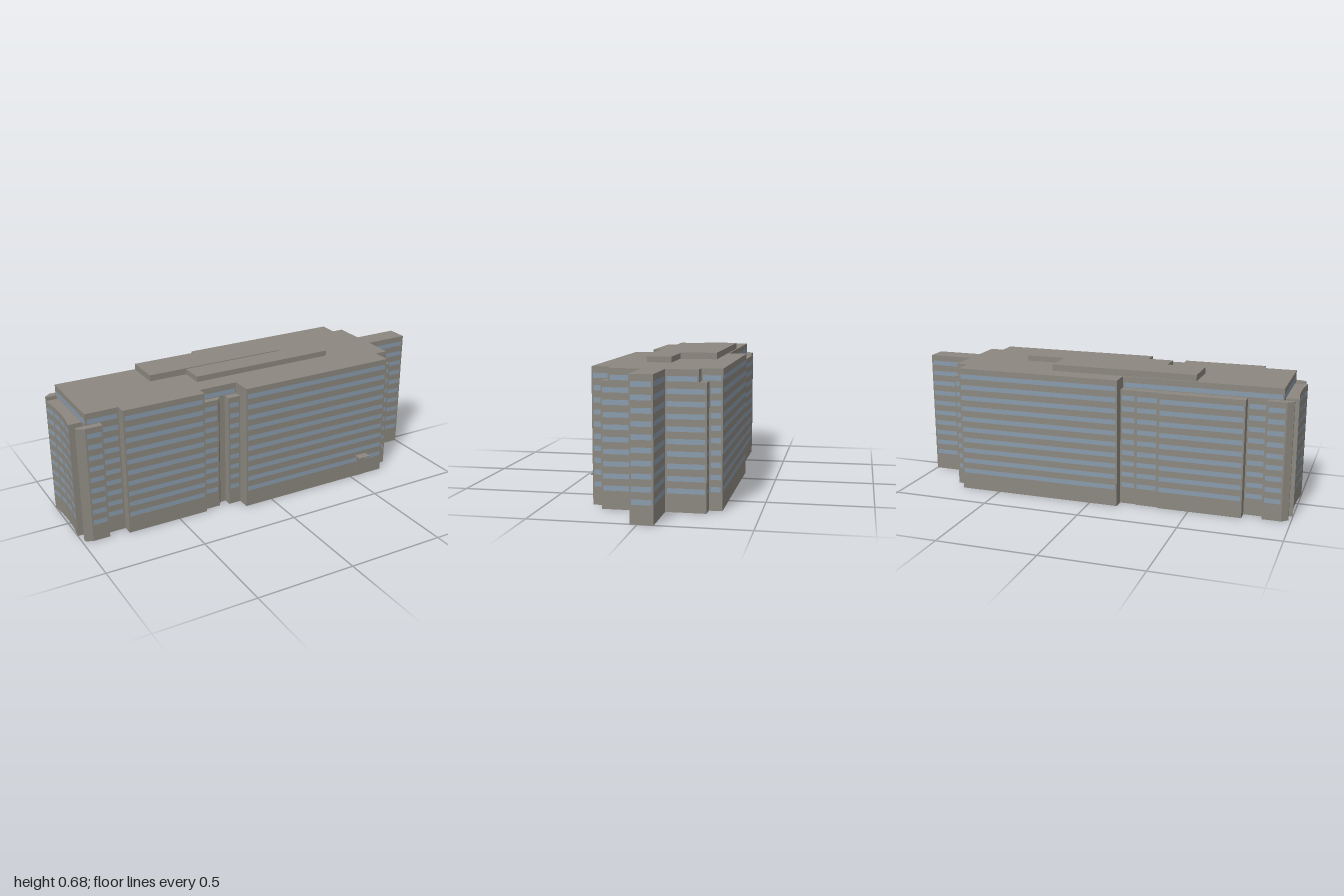
import * as THREE from 'three';

const concrete = new THREE.MeshStandardMaterial({ name: 'concrete', color: 0x8c8880, side: THREE.DoubleSide });
const glass = new THREE.MeshStandardMaterial({ name: 'glass', color: 0x8a9cad, side: THREE.DoubleSide });

const SHOULDER = 0.588, TOP = 0.645;   // lower terraces and main roof
const FLOOR = 0.0561, BAND = 0.024;    // storey pitch and window height

// Plan points [x, z], counter-clockwise from above; a third value of 1 leaves
// the wall that starts at that point without windows.
const lowerPlan = [
  [-0.985, 0.20, 1], [-0.95, 0.215], [-0.865, 0.215, 1], [-0.865, 0.18], [-0.77, 0.18, 1],
  [-0.77, 0.23], [-0.35, 0.23, 1], [-0.35, 0.21], [-0.265, 0.21, 1], [-0.245, 0.18, 1],
  [-0.215, 0.18, 1], [-0.215, 0.22], [-0.15, 0.22, 1], [-0.15, 0.283], [0.695, 0.283],
  [0.695, 0.222], [0.765, 0.222], [0.765, 0.033], [1, 0.033], [1, -0.073],
  [0.765, -0.073], [0.765, -0.262], [0.705, -0.262], [0.705, -0.324], [-0.145, -0.324, 1],
  [-0.145, -0.27], [-0.225, -0.27, 1], [-0.225, -0.276], [-0.34, -0.276, 1], [-0.34, -0.285],
  [-0.765, -0.285, 1], [-0.765, -0.23], [-0.86, -0.23, 1], [-0.86, -0.266], [-0.955, -0.266, 1],
  [-0.985, -0.24, 1], [-0.985, -0.228, 1], [-0.935, -0.228, 1], [-0.935, -0.185, 1],
  [-1, -0.185], [-0.99, -0.105], [-0.987, -0.025], [-0.99, 0.055], [-1, 0.135, 1],
  [-0.935, 0.135, 1], [-0.935, 0.18, 1], [-0.985, 0.18, 1],
];
const upperPlan = [
  [-0.935, 0.18], [-0.77, 0.18, 1], [-0.77, 0.23], [-0.35, 0.23, 1], [-0.35, 0.18],
  [-0.15, 0.18, 1], [-0.15, 0.283], [0.695, 0.283], [0.695, 0.187], [0.765, 0.187],
  [0.765, 0.033], [1, 0.033], [1, -0.073], [0.765, -0.073], [0.765, -0.226],
  [0.705, -0.226], [0.705, -0.324], [-0.145, -0.324, 1], [-0.145, -0.23], [-0.935, -0.23],
];

function meshFromPositions(name, positions, material) {
  const geometry = new THREE.BufferGeometry();
  geometry.setAttribute('position', new THREE.Float32BufferAttribute(positions, 3));
  geometry.computeVertexNormals();
  const mesh = new THREE.Mesh(geometry, material);
  mesh.name = name;
  return mesh;
}

// One tier: walls divided into concrete and window strips, plus a flat roof
function tier(name, plan, y0, y1, bandStarts) {
  const group = new THREE.Group();
  group.name = name;
  const walls = [], windows = [];

  plan.forEach(([ax, az, blank], i) => {
    const [bx, bz] = plan[(i + 1) % plan.length];
    const length = Math.hypot(bx - ax, bz - az);
    const at = t => [ax + (bx - ax) * t, az + (bz - az) * t];
    const quad = (out, t0, t1, low, high) => {
      const [px, pz] = at(t0), [qx, qz] = at(t1);
      out.push(px, low, pz, qx, low, qz, qx, high, qz, px, low, pz, qx, high, qz, px, high, pz);
    };
    if (blank) return quad(walls, 0, 1, y0, y1);
    const m = 0.008 / length;          // solid margin at each wall end
    let y = y0;
    for (const start of bandStarts) {
      quad(walls, 0, 1, y, start);
      quad(walls, 0, m, start, start + BAND);
      quad(windows, m, 1 - m, start, start + BAND);
      quad(walls, 1 - m, 1, start, start + BAND);
      y = start + BAND;
    }
    quad(walls, 0, 1, y, y1);
  });

  group.add(meshFromPositions(name + 'Walls', walls, concrete));
  group.add(meshFromPositions(name + 'Windows', windows, glass));

  const shape = new THREE.Shape(plan.map(([x, z]) => new THREE.Vector2(x, -z)));
  const roof = new THREE.Mesh(new THREE.ShapeGeometry(shape).rotateX(-Math.PI / 2), concrete);
  roof.position.y = y1;
  roof.name = name + 'Roof';
  group.add(roof);
  return group;
}

// Box given by its limits on each axis
function block(name, x0, x1, y0, y1, z0, z1) {
  const mesh = new THREE.Mesh(new THREE.BoxGeometry(x1 - x0, y1 - y0, z1 - z0), concrete);
  mesh.position.set((x0 + x1) / 2, (y0 + y1) / 2, (z0 + z1) / 2);
  mesh.name = name;
  return mesh;
}

export function createModel() {
  const model = new THREE.Group();
  model.name = 'officeBuilding';

  // Nine window rows below the terraces, one above
  const rows = Array.from({ length: 9 }, (_, i) => 0.086 + i * FLOOR);
  model.add(tier('mainFloors', lowerPlan, 0, SHOULDER, rows));
  model.add(tier('topFloor', upperPlan, SHOULDER, TOP, [0.591]));

  // Plain inner lining of the two long front walls
  for (const [x0, x1, z] of [[-0.15, 0.695, 0.28], [-0.77, -0.35, 0.227]]) {
    model.add(block('frontWallLining', x0 + 0.002, x1 - 0.002, 0.002, SHOULDER - 0.002, z - 0.002, z));
  }

  // Rooftop plant rooms
  model.add(block('rearPlantRoom', -0.513, 0.23, TOP, 0.677, -0.222, -0.038));
  model.add(block('frontPlantRoom', -0.315, 0.445, TOP, 0.673, -0.038, 0.083));

  // Entrance canopy and the plain doorway panel beneath it
  model.add(block('entranceCanopy', 0.525, 0.59, 0.117, 0.123, 0.283, 0.324));
  model.add(block('doorPanel', 0.535, 0.582, 0, 0.117, 0.282, 0.285));

  return model;
}
